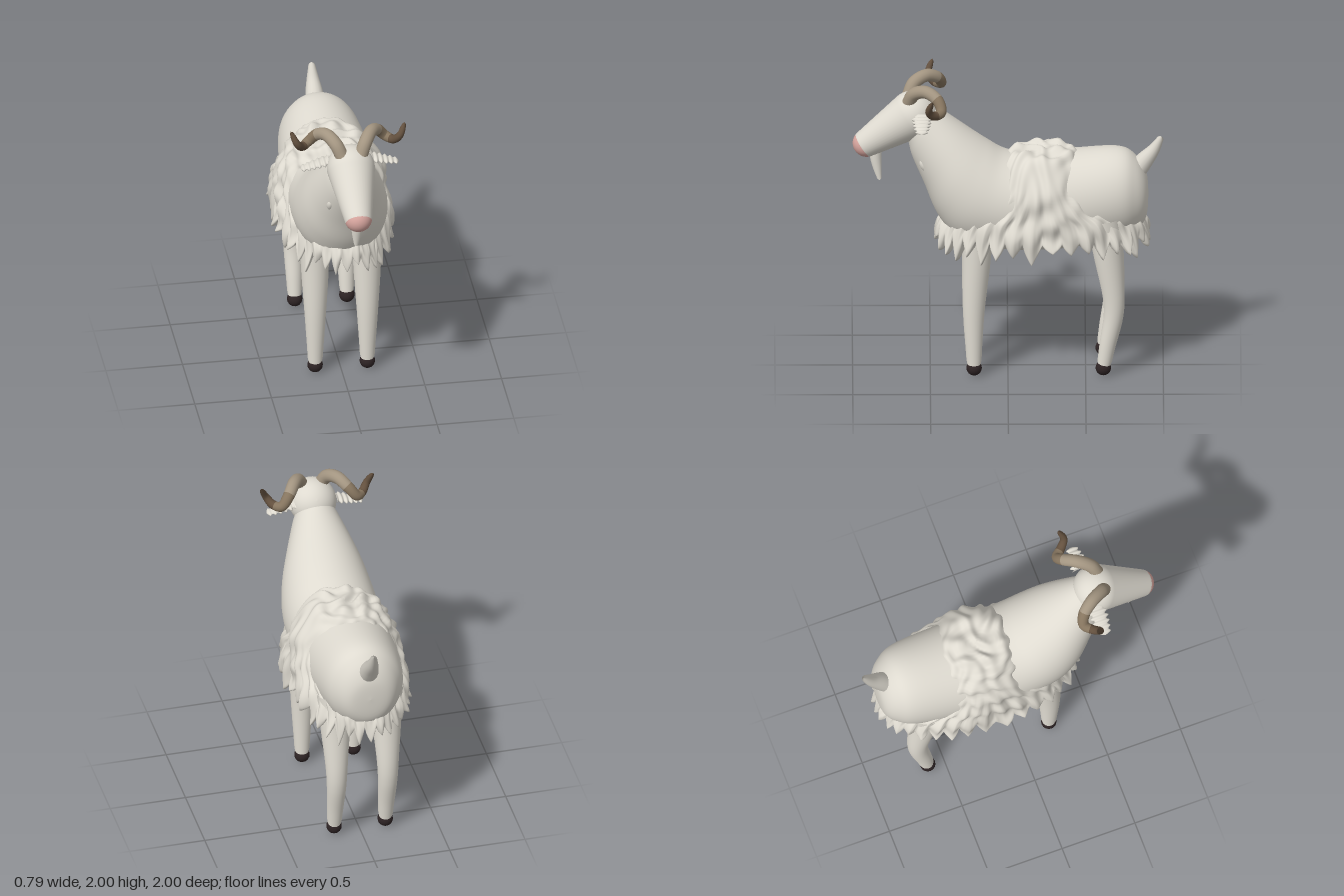
import * as THREE from 'three';

const material = (name, color, side = THREE.FrontSide) => {
  const m = new THREE.MeshStandardMaterial({ color, side });
  m.name = name;
  return m;
};

// Smooth interpolation of a row of numbers through key rows, t in 0..1
function sample(keys, t) {
  const f = t * (keys.length - 1), i = Math.min(Math.floor(f), keys.length - 2), u = f - i;
  const at = k => keys[Math.max(0, Math.min(keys.length - 1, k))];
  return keys[i].map((b, k) => {
    const a = at(i - 1)[k], c = at(i + 1)[k], d = at(i + 2)[k];
    return b + 0.5 * u * (c - a + u * (2 * a - 5 * b + 4 * c - d + u * (3 * (b - c) + d - a)));
  });
}

// Surface of rings, closed around j; fn(t, angle) returns [x, y, z]
function ringSurface(rows, cols, fn) {
  const pos = [], index = [];
  for (let i = 0; i <= rows; i++) {
    for (let j = 0; j < cols; j++) {
      pos.push(...fn(i / rows, (j / cols) * Math.PI * 2));
      if (i === rows) continue;
      const a = i * cols + j, b = i * cols + (j + 1) % cols;
      index.push(a, a + cols, b + cols, a, b + cols, b);
    }
  }
  const g = new THREE.BufferGeometry();
  g.setAttribute('position', new THREE.Float32BufferAttribute(pos, 3));
  g.setIndex(index);
  g.computeVertexNormals();
  return g;
}

// Tube through points whose radius follows key values, with a rounded tip
function taperedTube(points, radii, rows = 32, cols = 16) {
  const curve = new THREE.CatmullRomCurve3(points.map(p => new THREE.Vector3(...p)));
  const g = new THREE.TubeGeometry(curve, rows, 1, cols);
  const p = g.attributes.position, v = new THREE.Vector3();
  for (let i = 0; i <= rows; i++) {
    const t = i / rows, c = curve.getPointAt(t);
    const tip = Math.sqrt(1 - Math.max(0, (t - 0.92) / 0.08) ** 2);
    const r = sample(radii.map(x => [x]), t)[0] * tip;
    for (let j = 0; j <= cols; j++) {
      const k = i * (cols + 1) + j;
      v.fromBufferAttribute(p, k).sub(c).multiplyScalar(r).add(c);
      p.setXYZ(k, v.x, v.y, v.z);
    }
  }
  return g;
}

// Small seeded random
function seeded(seed) {
  return () => (seed = (seed * 16807) % 2147483647) / 2147483647;
}

export function createModel() {
  const root = new THREE.Group();
  const hide = material('cream hide', 0xdedad0);
  const fleece = material('cream fleece', 0xdedad0, THREE.DoubleSide);
  const pink = material('pink nose', 0xd9a7a0);
  const hoofDark = material('dark hoof', 0x2e2425);
  const horns = [material('tan horn', 0xa39581), material('brown horn', 0x86755f), material('dark horn', 0x64513f)];

  const add = (name, geometry, mat, x = 0, y = 0, z = 0) => {
    const m = new THREE.Mesh(geometry, mat);
    m.name = name;
    m.position.set(x, y, z);
    root.add(m);
    return m;
  };

  // Body and neck: each section is top z, top y, bottom z, bottom y, half width
  const sections = [
    [-0.905, 1.2, -0.905, 1.2, 0], [-0.89, 1.34, -0.89, 1.04, 0.13], [-0.82, 1.455, -0.82, 0.95, 0.21],
    [-0.7, 1.51, -0.7, 0.9, 0.265], [-0.4, 1.49, -0.4, 0.84, 0.3], [-0.1, 1.47, -0.1, 0.825, 0.31],
    [0.02, 1.49, 0.15, 0.85, 0.31], [0.12, 1.55, 0.34, 0.92, 0.3], [0.22, 1.62, 0.46, 1.08, 0.27],
    [0.32, 1.695, 0.54, 1.28, 0.22], [0.42, 1.77, 0.615, 1.46, 0.165], [0.47, 1.8, 0.64, 1.56, 0.135],
    [0.54, 1.82, 0.66, 1.66, 0.09],
  ];
  add('body', ringSurface(72, 48, (t, a) => {
    const [tz, ty, bz, by, w] = sample(sections, t), s = -Math.sin(a) / 2;
    return [w * Math.cos(a), (ty + by) / 2 + (ty - by) * s, (tz + bz) / 2 + (tz - bz) * s];
  }), hide);

  // Fleece: a lumpy blanket over the back that falls into pointed locks.
  // Each row is height, half width, half length; the last rows tuck under.
  const blanket = [
    [1.515, 0, 0], [1.51, 0.13, 0.17], [1.45, 0.235, 0.24], [1.32, 0.32, 0.3], [1.18, 0.35, 0.46],
    [1.1, 0.362, 0.61], [1.02, 0.37, 0.675], [0.96, 0.378, 0.685], [0.96, 0.345, 0.655], [1.02, 0.25, 0.55],
  ];
  const locks = 38, rand = seeded(77);
  const lockSize = Array.from({ length: locks }, () => [0.05 + 0.1 * rand(), rand() * 2 - 1]);
  add('fleece', ringSurface(63, locks * 8, (t, a) => {
    const [y, w, l] = sample(blanket, t);
    const u = (a / (Math.PI * 2)) * locks, [len, lean] = lockSize[Math.floor(u) % locks];
    const tooth = 1 - Math.abs(2 * (u % 1) - 1);
    const k = t * 9;
    const hang = THREE.MathUtils.smoothstep(k, 4.6, 7) * (1 - THREE.MathUtils.smoothstep(k, 8, 9));
    const c = Math.cos(a), s = -Math.sin(a), pow = v => Math.sign(v) * Math.abs(v) ** 0.92;
    const x = w * pow(c), z = l * pow(s);
    // lumps on the back, stretched into strands on the flanks
    const lump = Math.sin(27 * x + 2 * Math.sin(19 * z)) * Math.sin(31 * z + 2 * Math.sin(17 * x + 9 * y))
      + 0.5 * Math.sin(47 * x + 38 * y + 13 * z);
    const strand = (tooth - 0.5) * 0.035 + Math.sin(y * 34 + 7 * lean) * 0.008;
    const flank = THREE.MathUtils.smoothstep(k, 2.5, 6);
    const out = k > 8.5 ? 0 : lump * 0.018 * (1 - 0.5 * flank) + strand * flank + hang * tooth * lean * 0.012;
    const side = THREE.MathUtils.smoothstep(k, 0.6, 3);
    return [
      x + c * out * side,
      y + out * 1.2 * (1 - side) - hang * (len * tooth ** 0.75 - 0.02),
      -0.22 + z + s * out * side * (1 - 0.4 * flank),
    ];
  }), fleece);

  // Head: a tapered capsule tilted down and forward, with a pink nose cap
  const R = 0.155, r = 0.09, L = 0.36, tangent = Math.asin((R - r) / L), split = 0.32;
  const arc = (radius, y, from, to, n = 14) => Array.from({ length: n + 1 }, (_, i) => {
    const a = from + (to - from) * i / n;
    return new THREE.Vector2(Math.max(0, radius * Math.cos(a)), y + radius * Math.sin(a));
  });
  const skull = [...arc(R, 0, -Math.PI / 2, tangent), ...arc(r, L, tangent, split, 3)];
  const head = add('head', new THREE.LatheGeometry(skull, 40), hide, 0, 1.747, 0.61);
  const nose = add('nose', new THREE.LatheGeometry(arc(r, L, split, Math.PI / 2), 40), pink, 0, 1.747, 0.61);
  head.rotation.x = nose.rotation.x = Math.atan2(0.3, -0.2);

  // Beard and tail
  add('beard', taperedTube([[0, 1.54, 0.855], [0, 1.44, 0.85], [0, 1.37, 0.84], [0, 1.288, 0.825]],
    [0.045, 0.038, 0.027, 0.013]), hide);
  add('tail', taperedTube([[0, 1.36, -0.83], [0, 1.43, -0.885], [0, 1.5, -0.94], [0, 1.59, -0.99]],
    [0.066, 0.056, 0.038, 0.02]), hide);

  // Ridged ear profile, flattened when placed
  const earProfile = Array.from({ length: 61 }, (_, i) => {
    const t = i / 60, envelope = 0.055 * (1 - 0.45 * t * t) * Math.sqrt(1 - Math.max(0, (t - 0.9) / 0.1) ** 2);
    return new THREE.Vector2(envelope * (1 + 0.2 * Math.cos(t * Math.PI * 11)), t * 0.19);
  });
  const earGeometry = new THREE.LatheGeometry(earProfile, 24);

  for (const s of [1, -1]) {
    const side = s > 0 ? 'left' : 'right';

    // Horn: arches up and back, then curls out to a dark tip
    const horn = taperedTube([
      [0.06, 1.85, 0.64], [0.095, 1.925, 0.605], [0.145, 1.958, 0.525], [0.2, 1.92, 0.45],
      [0.25, 1.862, 0.43], [0.297, 1.855, 0.475], [0.335, 1.9, 0.51], [0.372, 1.98, 0.485],
    ].map(([x, y, z]) => [s * x, y, z]), [0.044, 0.043, 0.04, 0.034, 0.026, 0.016], 60, 16);
    [[0, 28], [28, 42], [42, 60]].forEach(([a, b], i) => horn.addGroup(a * 96, (b - a) * 96, i));
    add(side + 'Horn', horn, horns);

    const ear = add(side + 'Ear', earGeometry, hide, s * 0.135, 1.785, 0.555);
    ear.scale.x = 0.3;
    ear.rotation.z = -s * (Math.PI / 2 + 0.25);

    // Neck wattle
    const wattle = add(side + 'Wattle', new THREE.SphereGeometry(1, 16, 12), hide, s * 0.125, 1.44, 0.535);
    wattle.scale.set(0.024, 0.05, 0.03);
    wattle.rotation.x = 0.5;

    // Legs: straight in front, bent at the hock behind
    const x = s * 0.17;
    add(side + 'FrontLeg', taperedTube([[x, 1.08, 0.19], [x, 0.85, 0.2], [x, 0.45, 0.22], [x, 0.03, 0.218]],
      [0.1, 0.088, 0.066, 0.046], 40, 24), hide);
    add(side + 'BackLeg', taperedTube([[x, 1.1, -0.62], [x, 0.85, -0.645], [x, 0.52, -0.682], [x, 0.4, -0.678],
      [x, 0.2, -0.64], [x, 0.03, -0.612]], [0.115, 0.095, 0.072, 0.058, 0.045], 40, 24), hide);
    add(side + 'FrontHoof', new THREE.SphereGeometry(0.05, 16, 12), hoofDark, x, 0.05, 0.218);
    add(side + 'BackHoof', new THREE.SphereGeometry(0.05, 16, 12), hoofDark, x, 0.05, -0.614);
  }
  return root;
}
